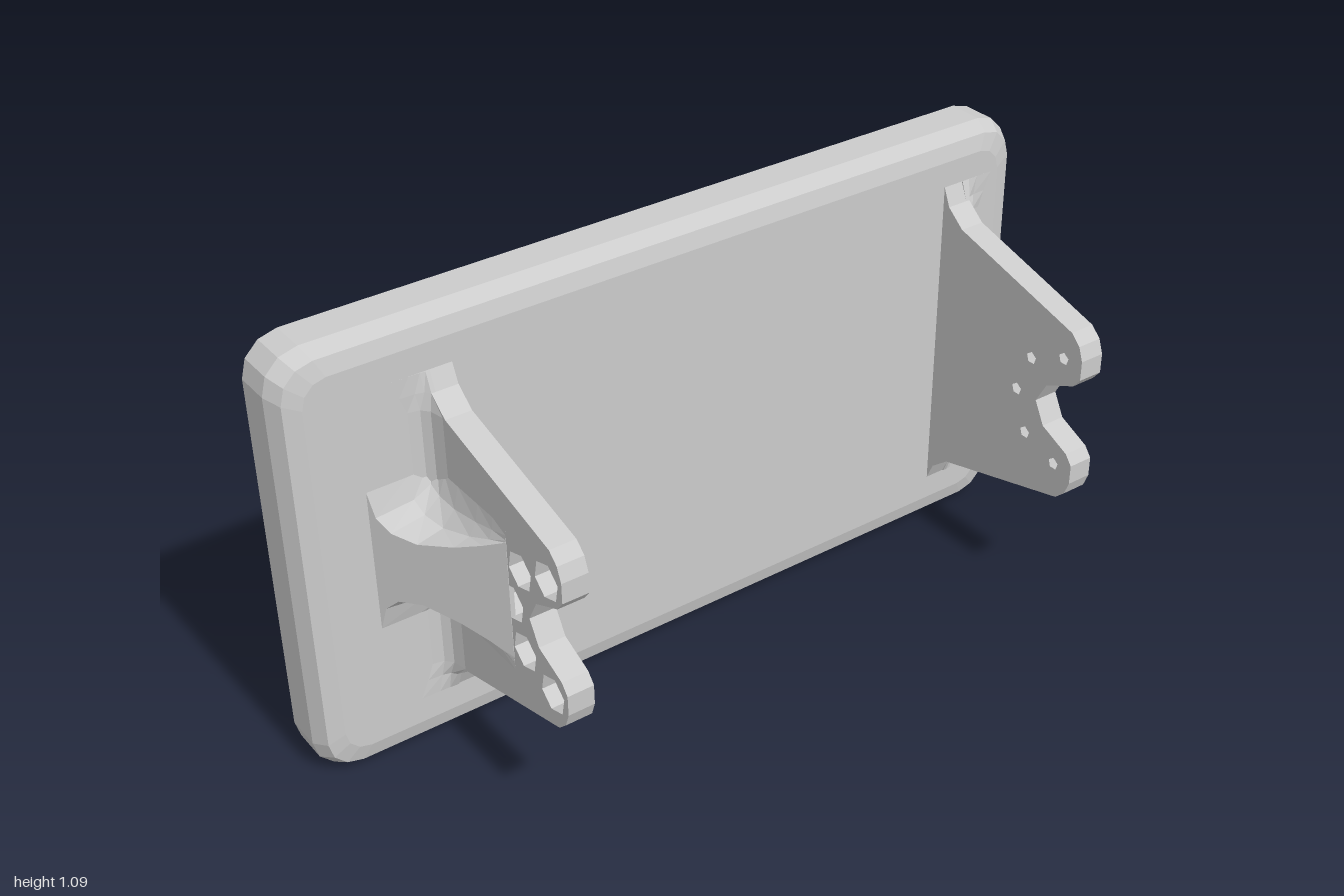
import * as THREE from 'three';

const CY = 0.545; // mid height of the panel
const FRONT = -0.18; // z of the panel's front face
const THICK = 0.065; // bracket thickness

const material = new THREE.MeshStandardMaterial({ color: 0xcccccc, flatShading: true });

// Closed solid through equal-length rings of [x, y, z] points, with fan caps.
function loft(rings) {
  const tris = [];
  const n = rings[0].length;
  for (let r = 0; r < rings.length - 1; r++) {
    for (let i = 0; i < n; i++) {
      const j = (i + 1) % n;
      const [a, b, c, d] = [rings[r][i], rings[r][j], rings[r + 1][j], rings[r + 1][i]];
      tris.push([a, b, c], [a, c, d]);
    }
  }
  const cap = (ring, flip) => {
    const mid = [0, 1, 2].map((k) => ring.reduce((s, p) => s + p[k], 0) / n);
    ring.forEach((p, i) => {
      const q = ring[(i + 1) % n];
      tris.push(flip ? [mid, q, p] : [mid, p, q]);
    });
  };
  cap(rings[0], true);
  cap(rings[rings.length - 1], false);

  // Turn the solid outward if its signed volume is negative.
  const v = tris.map((t) => t.map((p) => new THREE.Vector3(...p)));
  const volume = v.reduce((s, [a, b, c]) => s + a.dot(b.clone().cross(c)), 0);
  const points = v.flatMap(([a, b, c]) => (volume < 0 ? [a, c, b] : [a, b, c]));
  const geometry = new THREE.BufferGeometry().setFromPoints(points);
  geometry.computeVertexNormals();
  return geometry;
}

function part(name, geometry) {
  const mesh = new THREE.Mesh(geometry, material);
  mesh.name = name;
  return mesh;
}

// Rounded rectangle ring, pulled in from the panel's outer edge.
function panelRing(inset, z) {
  const radius = 0.09 - inset * 0.5;
  const ring = [];
  for (let corner = 0; corner < 4; corner++) {
    const sx = corner === 0 || corner === 3 ? 1 : -1;
    const sy = corner < 2 ? 1 : -1;
    for (let k = 0; k <= 3; k++) {
      const a = (corner + k / 3) * Math.PI / 2;
      ring.push([
        sx * (1 - inset - radius) + radius * Math.cos(a),
        CY + sy * (CY - inset - radius) + radius * Math.sin(a),
        z,
      ]);
    }
  }
  return ring;
}

// Bracket side outline and screw positions, as [z, y].
const OUTLINE = [
  [-0.2, 0.975], [-0.18, 0.965], [-0.16, 0.92], [-0.11, 0.88], [0.28, 0.775], [0.307, 0.75],
  [0.32, 0.715], [0.32, 0.665], [0.3, 0.64], [0.216, 0.602], [0.185, 0.545],
  [0.216, 0.488], [0.3, 0.45], [0.32, 0.425], [0.32, 0.375], [0.307, 0.34],
  [0.28, 0.315], [-0.11, 0.21], [-0.16, 0.17], [-0.18, 0.125], [-0.2, 0.115],
];
const SCREWS = [[0.262, 0.697], [0.158, 0.65], [0.118, 0.545], [0.158, 0.44], [0.262, 0.403]];

// One layer of the bracket, from x to x + depth, with a ring of polygonal holes.
function bracketLayer(x, depth, holeRadius, sides) {
  const shape = new THREE.Shape(OUTLINE.map(([z, y]) => new THREE.Vector2(-z, y)));
  for (const [z, y] of SCREWS) {
    const corners = [];
    for (let i = 0; i < sides; i++) {
      const a = -i * 2 * Math.PI / sides + 0.3;
      corners.push(new THREE.Vector2(-z + holeRadius * Math.cos(a), y + holeRadius * Math.sin(a)));
    }
    shape.holes.push(new THREE.Path(corners));
  }
  const geometry = new THREE.ExtrudeGeometry(shape, { depth, bevelEnabled: false });
  return geometry.rotateY(Math.PI / 2).translate(x, 0, 0);
}

// Sloping gusset whose sides flare into the bracket and the panel.
function gusset() {
  const foot = 0.185;
  const stations = [
    [0.11, 0.15], [0.06, 0.125], [0, 0.1], [-0.08, 0.08],
    [-0.135, 0.09], [-0.165, 0.12], [FRONT, 0.18], [-0.23, 0.18],
  ];
  return loft(stations.map(([z, w]) => {
    const d = 0.001 + 0.162 * Math.min(1, (0.11 - z) / 0.29);
    const half = [
      [-0.01, foot],
      [0, foot],
      [d * 0.12, w + (foot - w) * 0.5],
      [d * 0.4, w + (foot - w) * 0.15],
      [d, w],
    ];
    const upper = half.map(([x, h]) => [THICK + x, CY + h, z]);
    const lower = half.map(([x, h]) => [THICK + x, CY - h, z]).reverse();
    return [...upper, ...lower];
  }));
}

// Concave fillet along the joint of bracket and panel, fading at both ends.
function fillet() {
  const stations = [
    [-0.42, 0.003, 0.085], [-0.375, 0.02, 0.065], [-0.335, 0.06, 0.05], [-0.2, 0.06, 0.05],
    [0.2, 0.06, 0.05], [0.335, 0.06, 0.05], [0.375, 0.02, 0.065], [0.42, 0.003, 0.085],
  ];
  return loft(stations.map(([dy, h, w]) => [
    [-0.01, -0.02], [-0.01, h], [0, h], [w * 0.15, h * 0.4], [w * 0.45, h * 0.1], [w, 0], [w, -0.02],
  ].map(([x, z]) => [THICK + x, CY + dy, FRONT + z])));
}

function createBracket(name) {
  const bracket = new THREE.Group();
  bracket.name = name;
  bracket.add(
    part('screwHoleLayer', bracketLayer(0, 0.025, 0.016, 5)),
    part('nutPocketLayer', bracketLayer(0.025, THICK - 0.025, 0.046, 6)),
    part('gusset', gusset()),
    part('jointFillet', fillet()),
  );
  return bracket;
}

export function createModel() {
  const model = new THREE.Group();
  model.name = 'mountingPanel';

  // Panel with rounded corners and a softened front edge.
  const profile = [[0, -0.32], [0, -0.23], [0.02, -0.19], [0.06, FRONT]];
  model.add(part('panel', loft(profile.map(([inset, z]) => panelRing(inset, z)))));

  // Two brackets; the right one is turned half a turn so its gusset faces outward.
  const left = createBracket('leftBracket');
  left.position.x = 0.77;
  const right = createBracket('rightBracket');
  right.rotation.z = Math.PI;
  right.position.set(-0.595, 2 * CY, 0);
  model.add(left, right);
  return model;
}
